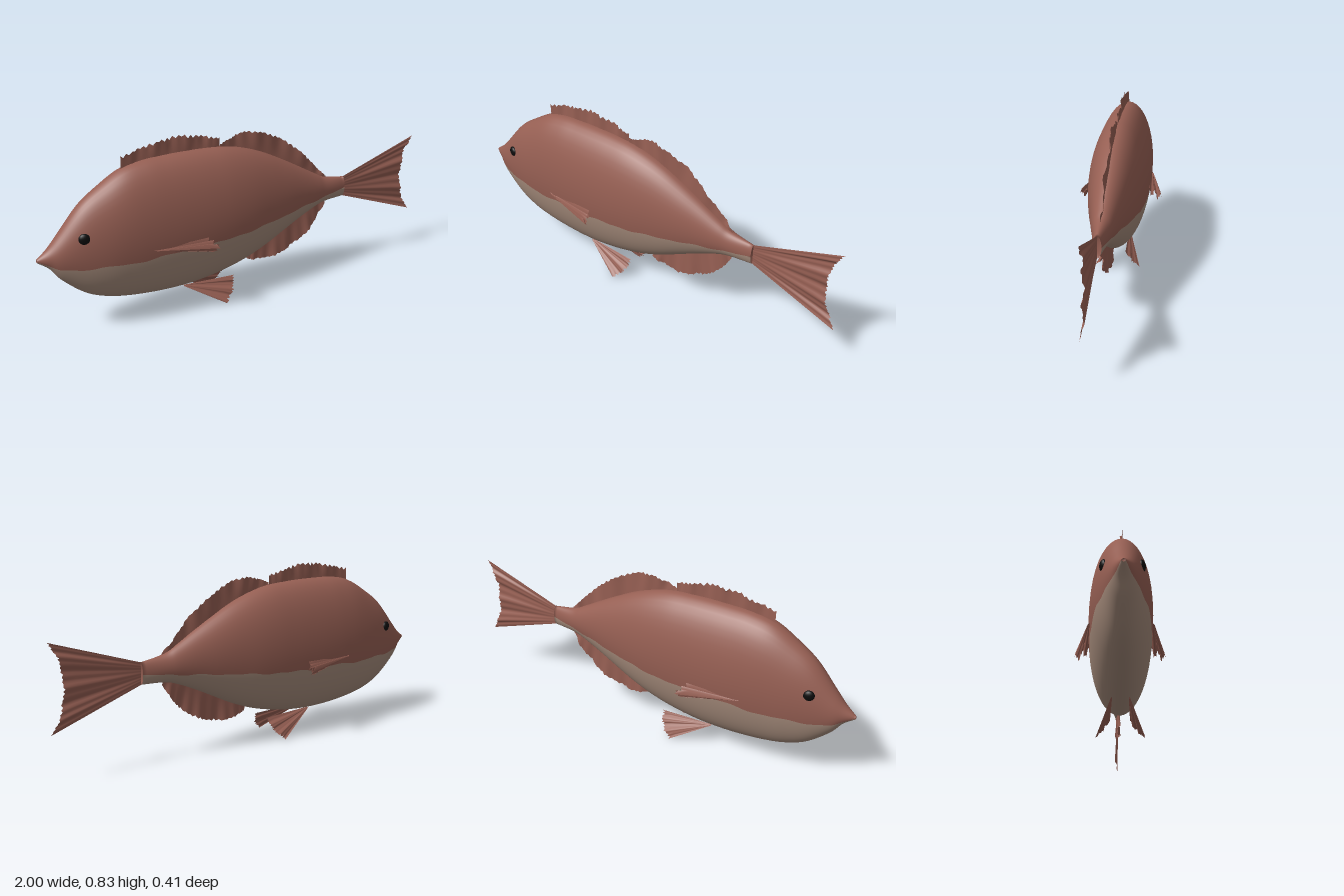
import * as THREE from 'three';

const skin = new THREE.MeshStandardMaterial({ color: 0x965f53, side: THREE.DoubleSide });
skin.name = 'reddish brown skin';
const pale = new THREE.MeshStandardMaterial({ color: 0xa58b7b });
pale.name = 'pale belly';
const black = new THREE.MeshStandardMaterial({ color: 0x0c0c0c });
black.name = 'black eye';

// body stations: x, top, bottom, half width, height of the colour seam
const stations = [
  [-1, 0.392, 0.378, 0.008, 0.383], [-0.95, 0.43, 0.34, 0.036, 0.36], [-0.9, 0.485, 0.275, 0.06, 0.34],
  [-0.8, 0.6, 0.19, 0.09, 0.335], [-0.7, 0.672, 0.147, 0.113, 0.335], [-0.6, 0.728, 0.126, 0.127, 0.33],
  [-0.5, 0.75, 0.115, 0.135, 0.337], [-0.4, 0.755, 0.11, 0.139, 0.342], [-0.3, 0.756, 0.112, 0.14, 0.338],
  [-0.2, 0.753, 0.123, 0.139, 0.345], [-0.1, 0.745, 0.142, 0.135, 0.352], [0, 0.722, 0.17, 0.126, 0.357],
  [0.1, 0.685, 0.21, 0.111, 0.372], [0.2, 0.635, 0.26, 0.093, 0.38], [0.3, 0.58, 0.31, 0.072, 0.392],
  [0.4, 0.523, 0.353, 0.051, 0.402], [0.46, 0.494, 0.368, 0.038, 0.41], [0.57, 0.475, 0.375, 0.019, 0.42],
];
const line = (pts) => new THREE.CatmullRomCurve3(pts.map((p) => new THREE.Vector3(p[0], p[1], p[2] ?? 0)), false, 'catmullrom');
const outline = line(stations.map((s) => [s[0], s[1], s[2]]));
const girth = line(stations.map((s) => [s[0], s[3], s[4]]));

// Quads of a grid, columns running along the first direction
function addQuad(list, a, b, c, d) { list.push(a, b, c, a, c, d); }

function makeGeometry(positions, index) {
  const g = new THREE.BufferGeometry();
  g.setAttribute('position', new THREE.Float32BufferAttribute(positions, 3));
  g.setIndex(index);
  g.computeVertexNormals();
  return g;
}

// Elliptical sections, each split at the colour seam into a back and a belly
function makeBody() {
  const rings = 110, half = 26, n = half * 2;
  const pos = [], upper = [], lower = [];
  for (let i = 0; i <= rings; i++) {
    const o = outline.getPoint(i / rings), g = girth.getPoint(i / rings);
    const c = (o.y + o.z) / 2, h = (o.y - o.z) / 2;
    const wave = 0.004 * Math.sin(o.x * 37) * Math.sin(o.x * 11 + 1);
    const a = Math.asin(THREE.MathUtils.clamp((g.z + wave - c) / h, -0.95, 0.95));
    for (let j = 0; j < n; j++) {
      const t = j < half
        ? a + (Math.PI - 2 * a) * j / half
        : Math.PI - a + (Math.PI + 2 * a) * (j - half) / half;
      pos.push(o.x, c + h * Math.sin(t), g.y * Math.cos(t));
    }
  }
  for (let i = 0; i < rings; i++) for (let j = 0; j < n; j++) {
    const k = (j + 1) % n;
    addQuad(j < half ? upper : lower, i * n + j, (i + 1) * n + j, (i + 1) * n + k, i * n + k);
  }
  // close the snout and the tail root
  for (let j = 1; j < n - 1; j++) {
    const e = rings * n;
    upper.push(0, j + 1, j, e, e + j, e + j + 1);
  }
  const geo = makeGeometry(pos, [...upper, ...lower]);
  geo.addGroup(0, upper.length, 0);
  geo.addGroup(upper.length, lower.length, 1);
  const mesh = new THREE.Mesh(geo, [skin, pale]);
  mesh.name = 'body';
  return mesh;
}

// Sheet between a root line and an outer edge, with a ragged edge and rippled rays
function makeFin(name, rootPts, edgePts, { rays, jag, ripple, axis = 'z', freq = 20 }) {
  const root = line(rootPts), edge = line(edgePts), rows = 6, cols = rays * 2;
  const pos = [], index = [], p = new THREE.Vector3();
  for (let i = 0; i <= cols; i++) {
    const u = i / cols;
    const r = root.getPoint(u), e = edge.getPoint(u);
    const notch = i % 2 ? jag * (0.7 + 0.3 * Math.sin(i * 2.3)) : 0;
    for (let k = 0; k <= rows; k++) {
      const v = k / rows;
      p.lerpVectors(r, e, v * (1 - (k === rows ? notch : 0)));
      p[axis] += ripple * v * (0.65 * Math.sin(u * freq) + 0.35 * Math.sin(u * freq * 2.7 + 1));
      pos.push(p.x, p.y, p.z);
    }
  }
  const m = rows + 1;
  for (let i = 0; i < cols; i++) for (let k = 0; k < rows; k++)
    addQuad(index, i * m + k, (i + 1) * m + k, (i + 1) * m + k + 1, i * m + k + 1);
  const mesh = new THREE.Mesh(makeGeometry(pos, index), skin);
  mesh.name = name;
  return mesh;
}

export function createModel() {
  const fish = new THREE.Group();
  fish.name = 'fish';
  fish.add(makeBody());

  // fins along the back and underside
  fish.add(makeFin('spinyDorsalFin',
    [[-0.6, 0.715], [-0.5, 0.74], [-0.4, 0.745], [-0.3, 0.745], [-0.2, 0.742], [-0.12, 0.735]],
    [[-0.6, 0.785], [-0.5, 0.808], [-0.4, 0.828], [-0.3, 0.832], [-0.2, 0.812], [-0.12, 0.79]],
    { rays: 18, jag: 0.22, ripple: 0.009, freq: 22 }));
  fish.add(makeFin('softDorsalFin',
    [[-0.12, 0.735], [-0.05, 0.722], [0.03, 0.7], [0.12, 0.665], [0.22, 0.612], [0.32, 0.555], [0.4, 0.51], [0.46, 0.482]],
    [[-0.12, 0.76], [-0.06, 0.782], [0.02, 0.797], [0.12, 0.775], [0.23, 0.718], [0.33, 0.637], [0.41, 0.555], [0.465, 0.497]],
    { rays: 26, jag: 0.1, ripple: 0.01, freq: 20 }));
  fish.add(makeFin('analFin',
    [[0.02, 0.19], [0.08, 0.215], [0.16, 0.255], [0.25, 0.3], [0.33, 0.34], [0.4, 0.367], [0.46, 0.383]],
    [[0.02, 0.155], [0.07, 0.138], [0.16, 0.132], [0.26, 0.157], [0.35, 0.208], [0.42, 0.28], [0.465, 0.355]],
    { rays: 22, jag: 0.07, ripple: 0.01, freq: 20 }));

  // forked tail
  fish.add(makeFin('tailFin',
    [[0.56, 0.472], [0.56, 0.449], [0.56, 0.425], [0.56, 0.401], [0.56, 0.378]],
    [[0.995, 0.62], [0.95, 0.535], [0.935, 0.425], [0.95, 0.315], [0.995, 0.222]],
    { rays: 22, jag: 0.025, ripple: 0.009, freq: 21 }));

  // paired fins and eyes
  for (const [side, s] of [['left', 1], ['right', -1]]) {
    fish.add(makeFin(side + 'PectoralFin',
      [[-0.52, 0.378, 0.128 * s], [-0.515, 0.376, 0.134 * s], [-0.505, 0.374, 0.14 * s]],
      [[-0.26, 0.37, 0.13 * s], [-0.243, 0.357, 0.167 * s], [-0.23, 0.345, 0.203 * s]],
      { rays: 12, jag: 0.06, ripple: 0.026, axis: 'y', freq: 15 }));
    fish.add(makeFin(side + 'PelvicFin',
      [[-0.335, 0.12, 0.035 * s], [-0.335, 0.118, 0.038 * s], [-0.335, 0.115, 0.041 * s]],
      [[-0.075, 0.112, 0.045 * s], [-0.095, 0.055, 0.078 * s], [-0.145, 0.006, 0.108 * s]],
      { rays: 10, jag: 0.05, ripple: 0.008, freq: 15 }));

    const eye = new THREE.Mesh(new THREE.SphereGeometry(0.025, 16, 12), black);
    eye.name = side + 'Eye';
    eye.scale.z = 0.55;
    eye.position.set(-0.81, 0.475, 0.077 * s);
    eye.rotation.y = -0.28 * s;
    fish.add(eye);
  }
  return fish;
}
